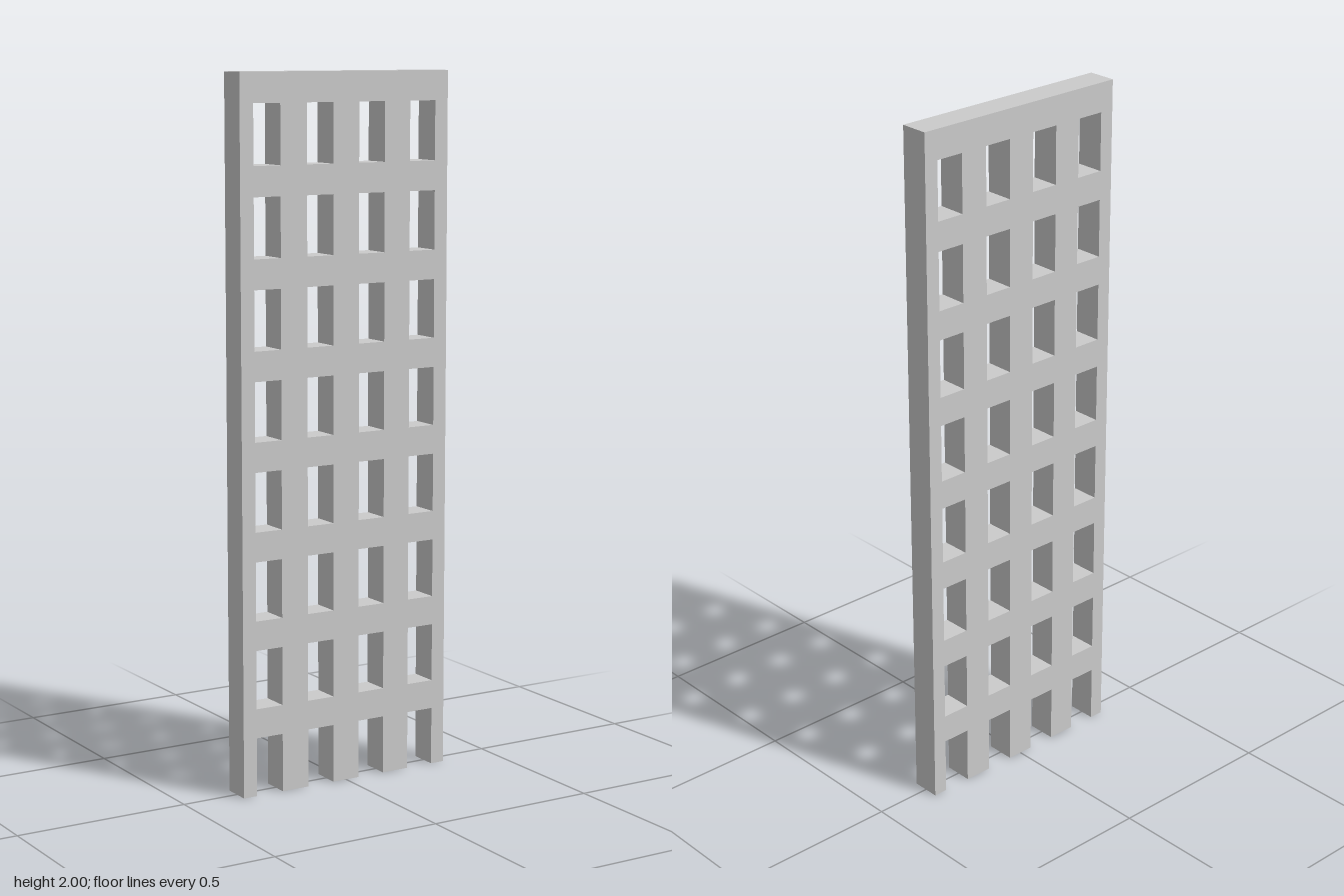
import * as THREE from 'three';

const WIDTH = 2 / 3, HEIGHT = 2, DEPTH = 1 / 12;
const COLUMNS = 4, FLOORS = 8;
const BAY = WIDTH / COLUMNS, STOREY = HEIGHT / FLOORS;
const OPEN_W = BAY / 2, OPEN_H = STOREY * 2 / 3;

// Left and right edge of the opening in a column
function openingEdges(column) {
  const centre = -WIDTH / 2 + (column + 0.5) * BAY;
  return [centre - OPEN_W / 2, centre + OPEN_W / 2];
}

export function createModel() {
  const group = new THREE.Group();
  group.name = 'windowedWall';

  // Wall outline, with doorways notched into the bottom edge
  const outline = new THREE.Shape();
  outline.moveTo(-WIDTH / 2, 0);
  for (let c = 0; c < COLUMNS; c++) {
    const [x0, x1] = openingEdges(c);
    outline.lineTo(x0, 0);
    outline.lineTo(x0, OPEN_H);
    outline.lineTo(x1, OPEN_H);
    outline.lineTo(x1, 0);
  }
  outline.lineTo(WIDTH / 2, 0);
  outline.lineTo(WIDTH / 2, HEIGHT);
  outline.lineTo(-WIDTH / 2, HEIGHT);
  outline.closePath();

  // Window holes on the floors above
  for (let f = 1; f < FLOORS; f++) {
    for (let c = 0; c < COLUMNS; c++) {
      const [x0, x1] = openingEdges(c);
      const y0 = f * STOREY, y1 = y0 + OPEN_H;
      const hole = new THREE.Path();
      hole.moveTo(x0, y0);
      hole.lineTo(x0, y1);
      hole.lineTo(x1, y1);
      hole.lineTo(x1, y0);
      hole.closePath();
      outline.holes.push(hole);
    }
  }

  const geometry = new THREE.ExtrudeGeometry(outline, { depth: DEPTH, bevelEnabled: false });
  geometry.translate(0, 0, -DEPTH / 2);

  const material = new THREE.MeshStandardMaterial({ color: 0xcccccc, flatShading: true });
  const wall = new THREE.Mesh(geometry, material);
  wall.name = 'wall';
  group.add(wall);
  return group;
}
